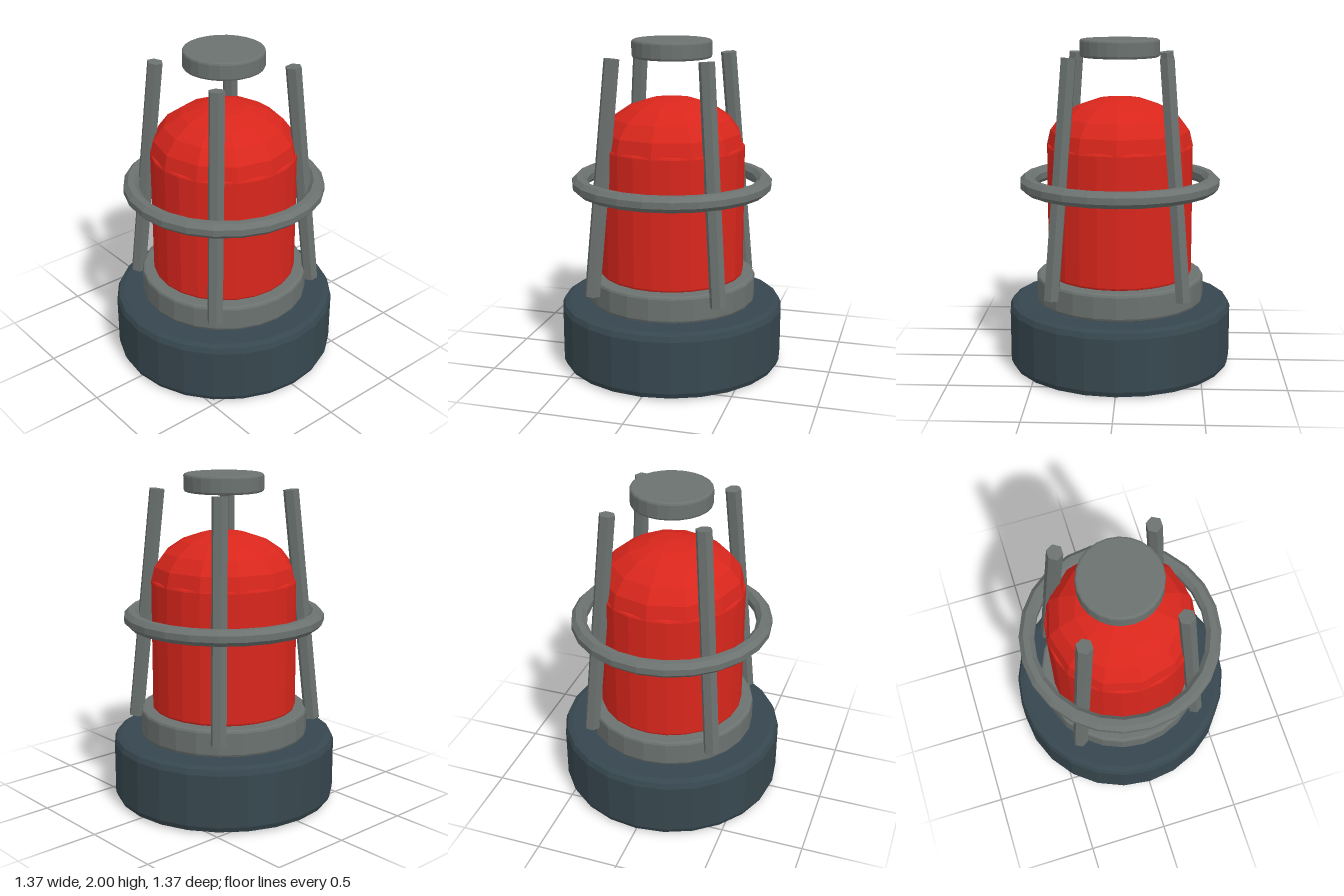
import * as THREE from 'three';

const SIDES = 24;

function paint(color) {
  return new THREE.MeshStandardMaterial({ color, flatShading: true });
}

// Solid disc with chamfered rims, standing from y0 to y1
function bevelledDisc(name, radius, y0, y1, bevel, material) {
  const profile = [
    [0, y0], [radius - bevel, y0], [radius - bevel * 0.3, y0 + bevel * 0.3], [radius, y0 + bevel],
    [radius, y1 - bevel], [radius - bevel * 0.3, y1 - bevel * 0.3], [radius - bevel, y1], [0, y1],
  ].map(([x, y]) => new THREE.Vector2(x, y));
  const mesh = new THREE.Mesh(new THREE.LatheGeometry(profile, SIDES), material);
  mesh.name = name;
  return mesh;
}

export function createModel() {
  const group = new THREE.Group();
  group.name = 'beaconLamp';
  const slate = paint(0x37474f);
  const metal = paint(0x6b726f);
  const red = paint(0xd9261c);

  // Stacked body and the cap above the cage
  group.add(
    bevelledDisc('base', 0.685, 0, 0.405, 0.045, slate),
    bevelledDisc('collar', 0.515, 0.405, 0.57, 0.018, metal),
    bevelledDisc('lens', 0.442, 0.57, 1.375, 0.015, red),
    bevelledDisc('topCap', 0.24, 1.893, 2, 0.014, metal),
  );

  // Faceted dome on the lens
  const dome = new THREE.Mesh(
    new THREE.SphereGeometry(0.444, 12, 5, 0, Math.PI * 2, 0, Math.PI / 2), red);
  dome.name = 'lensDome';
  dome.scale.y = 0.3 / 0.444;
  dome.position.y = 1.36;
  group.add(dome);

  // Guard ring with an eight-sided section, flat on top and outside
  const section = [];
  for (let i = 0; i <= 8; i++) {
    const a = ((i + 0.5) / 8) * Math.PI * 2;
    section.push(new THREE.Vector2(0.563 + 0.05 * Math.cos(a), 0.05 * Math.sin(a)));
  }
  const ring = new THREE.Mesh(new THREE.LatheGeometry(section, SIDES), metal);
  ring.name = 'guardRing';
  ring.position.y = 1.138;
  group.add(ring);

  // Four leaning cage bars on the diagonals
  const up = new THREE.Vector3(0, 1, 0);
  for (const sx of [-1, 1]) {
    for (const sz of [-1, 1]) {
      const foot = new THREE.Vector3(sx * 0.387, 0.495, sz * 0.387);
      const head = new THREE.Vector3(sx * 0.281, 1.905, sz * 0.281);
      const lean = head.clone().sub(foot);
      const bar = new THREE.Mesh(
        new THREE.CylinderGeometry(0.048, 0.048, lean.length(), 6), metal);
      bar.name = 'cageBar';
      bar.position.copy(foot).add(head).multiplyScalar(0.5);
      bar.quaternion.setFromUnitVectors(up, lean.normalize());
      group.add(bar);
    }
  }
  return group;
}
